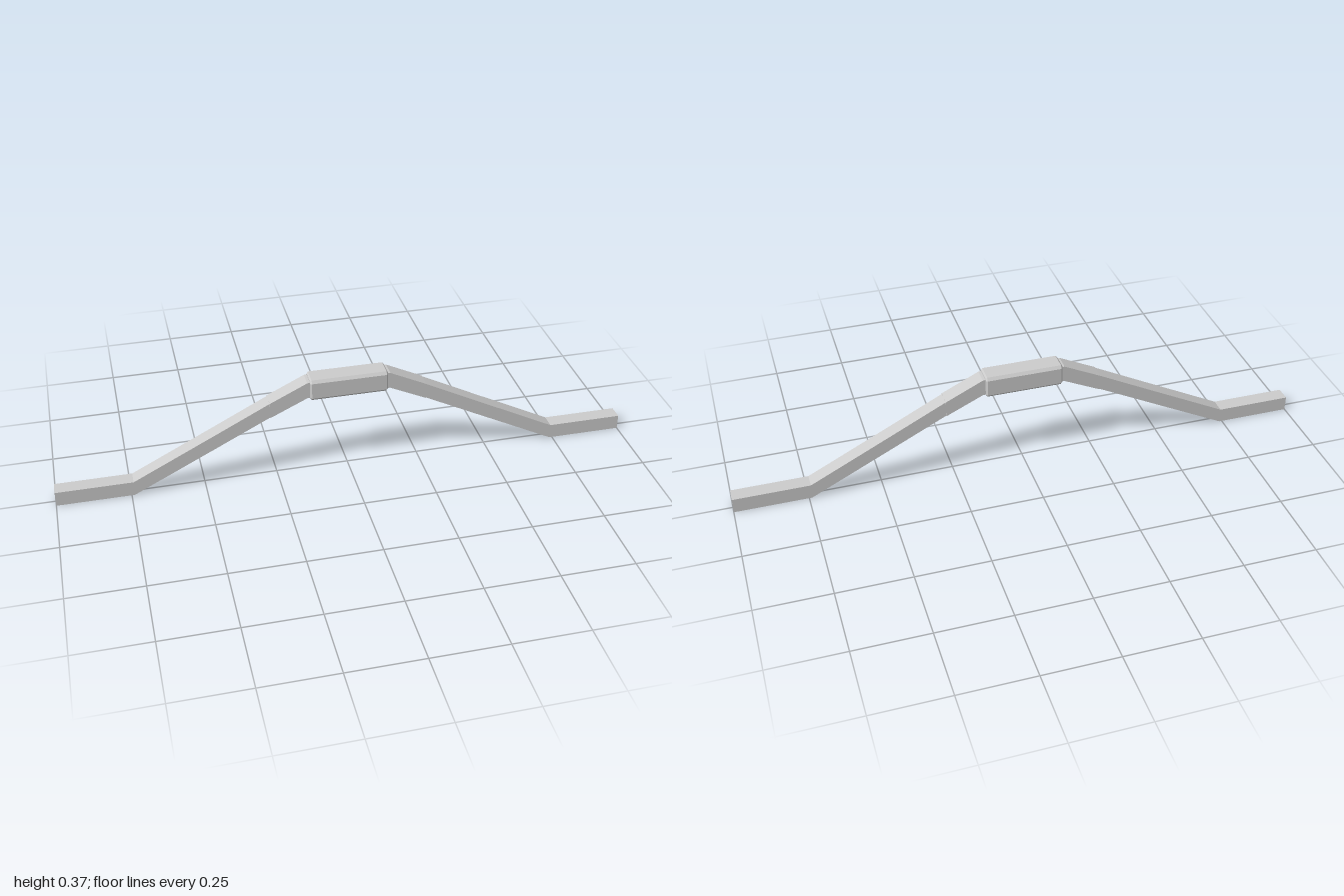
import * as THREE from 'three';

const material = new THREE.MeshStandardMaterial({ color: 0xcccccc, flatShading: true });

// Side outline [x, y] given a thickness along z
function slab(name, points, halfDepth) {
  const shape = new THREE.Shape(points.map(([x, y]) => new THREE.Vector2(x, y)));
  const geometry = new THREE.ExtrudeGeometry(shape, { depth: halfDepth * 2, bevelEnabled: false });
  geometry.translate(0, 0, -halfDepth);
  const mesh = new THREE.Mesh(geometry, material);
  mesh.name = name;
  return mesh;
}

export function createModel() {
  const model = new THREE.Group();
  model.name = 'bow';

  // Chamfered central grip, a cross-section run along x
  const section = [
    [-0.03, 0.29], [0.03, 0.29], [0.038, 0.299], [0.038, 0.356],
    [0.03, 0.366], [-0.03, 0.366], [-0.038, 0.356], [-0.038, 0.299],
  ];
  const shape = new THREE.Shape(section.map(([z, y]) => new THREE.Vector2(z, y)));
  const gripGeometry = new THREE.ExtrudeGeometry(shape, {
    depth: 0.256, bevelEnabled: true, bevelSegments: 1,
    bevelThickness: 0.005, bevelSize: 0.005, bevelOffset: -0.005,
  });
  gripGeometry.translate(0, 0, -0.128);
  gripGeometry.rotateY(Math.PI / 2);
  const grip = new THREE.Mesh(gripGeometry, material);
  grip.name = 'grip';
  model.add(grip);

  // Each side: a sleeve beside the grip, a sloping limb and a flat tip
  for (const [side, label] of [[1, 'left'], [-1, 'right']]) {
    const mirror = (points) => points.map(([x, y]) => [x * side, y]);
    model.add(slab(label + 'Sleeve', mirror([
      [0.12, 0.298], [0.142, 0.298], [0.27, 0.238],
      [0.27, 0.294], [0.142, 0.356], [0.12, 0.358],
    ]), 0.028));
    model.add(slab(label + 'Limb', mirror([
      [0.26, 0.244], [0.46, 0.142], [0.74, 0], [1, 0],
      [1, 0.052], [0.74, 0.052], [0.46, 0.195], [0.26, 0.298],
    ]), 0.026));
  }
  return model;
}
